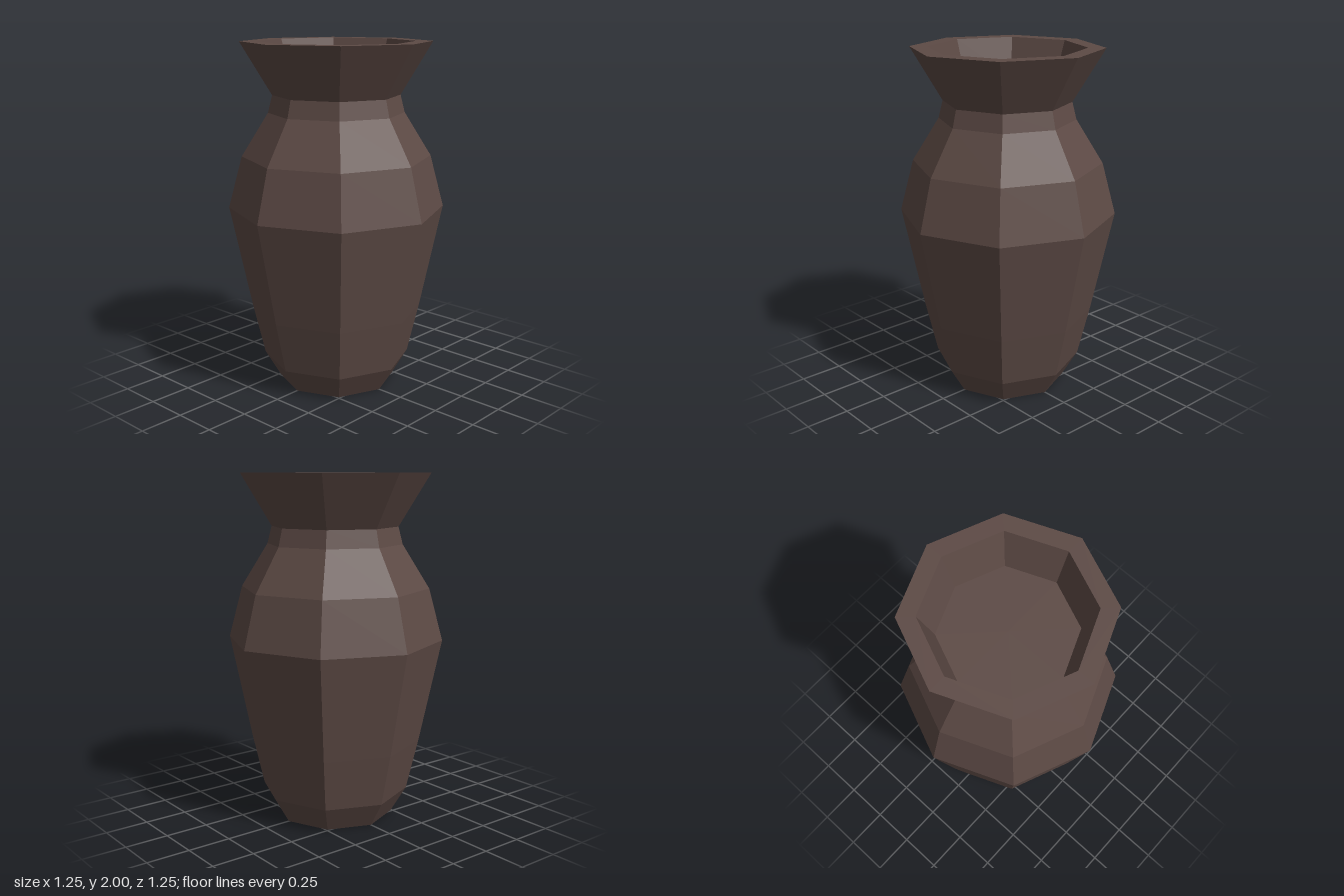
import * as THREE from 'three';

const SIDES = 8;

export function createModel() {
  const group = new THREE.Group();
  group.name = 'vase';
  const clay = new THREE.MeshStandardMaterial({ color: 0x5d4a45, flatShading: true });

  // Revolves a profile of [radius, height] pairs into an eight-sided part
  const addTurned = (name, profile) => {
    const points = profile.map(([r, y]) => new THREE.Vector2(r, y));
    const mesh = new THREE.Mesh(new THREE.LatheGeometry(points, SIDES), clay);
    mesh.name = name;
    group.add(mesh);
  };

  // Closed base, tapering belly, shoulder and narrow neck
  addTurned('body', [
    [0, 0], [0.34, 0], [0.43, 0.15], [0.5, 0.45], [0.625, 1.05],
    [0.545, 1.35], [0.39, 1.6], [0.365, 1.7],
  ]);

  // Flared collar with a flat lip
  addTurned('flaredRim', [[0.365, 1.7], [0.545, 2], [0.445, 2]]);

  // Shallow recess inside the mouth
  addTurned('mouthRecess', [[0.445, 2], [0.37, 1.77], [0, 1.77]]);

  return group;
}
